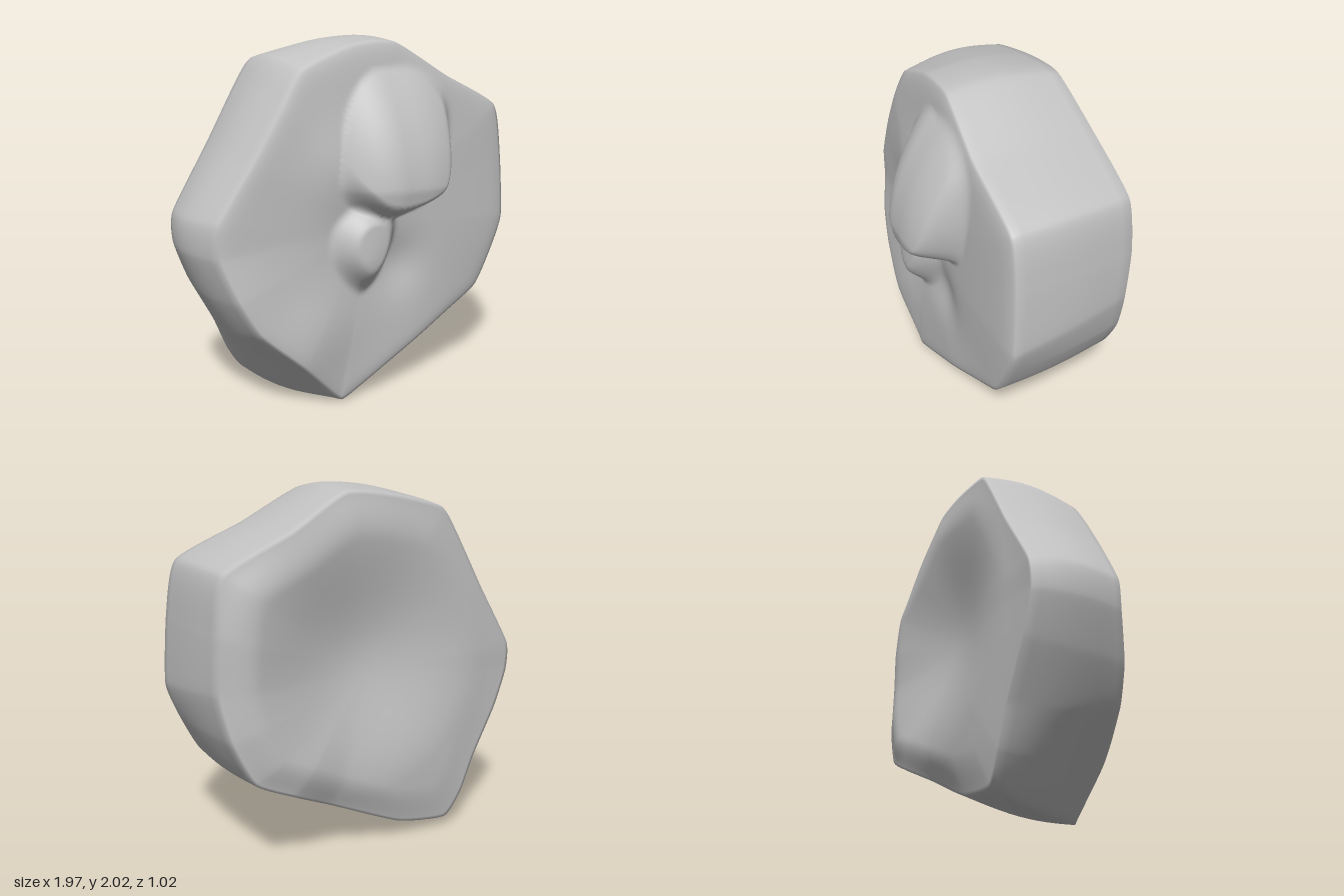
import * as THREE from 'three';
import { mergeVertices } from 'three/addons/utils/BufferGeometryUtils.js';

const V = (x, y, z) => new THREE.Vector3(x, y, z);
const { lerp, smoothstep } = THREE.MathUtils;

// Corners of the stone, counter-clockwise: front x, y, z then back x, y, z
const corners = [
  [0.985, 0.92, 0.22, 0.9, 1.0, -0.45], [0.965, 1.3, 0.21, 0.89, 1.3, -0.46],
  [0.9, 1.6, 0.21, 0.84, 1.59, -0.44], [0.52, 1.785, 0.23, 0.48, 1.78, -0.43],
  [0.17, 1.975, 0.22, 0.17, 1.965, -0.39], [-0.1, 1.96, 0.22, -0.1, 1.95, -0.37],
  [-0.4, 1.84, 0.23, -0.42, 1.88, -0.34], [-0.53, 1.65, 0.25, -0.53, 1.74, -0.33],
  [-0.7, 1.38, 0.25, -0.72, 1.42, -0.31], [-0.89, 1.08, 0.23, -0.94, 1.07, -0.28],
  [-0.9, 0.9, 0.23, -0.95, 0.9, -0.27], [-0.81, 0.66, 0.28, -0.87, 0.68, -0.28],
  [-0.7, 0.47, 0.3, -0.72, 0.4, -0.3], [-0.46, 0.25, 0.31, -0.63, 0.19, -0.31],
  [-0.23, 0.02, 0.28, -0.52, 0.05, -0.31], [-0.16, 0.01, 0.28, -0.2, 0.09, -0.33],
  [0.3, 0.245, 0.27, 0.24, 0.28, -0.36], [0.55, 0.37, 0.245, 0.5, 0.41, -0.45],
  [0.795, 0.5, 0.22, 0.72, 0.52, -0.47], [0.915, 0.72, 0.22, 0.84, 0.75, -0.47],
];
const loop = (pts) => new THREE.CatmullRomCurve3(pts, true, 'catmullrom', 0.28);
const frontEdge = loop(corners.map((c) => V(c[0], c[1], c[2])));
const backEdge = loop(corners.map((c) => V(c[3], c[4], c[5])));

// Outlines of the two lumps on the front, counter-clockwise and convex
const bigLump = [[-0.24, 1.21], [-0.02, 1.01], [0.12, 1.01], [0.42, 1.11], [0.5, 1.32],
  [0.52, 1.7], [0.36, 1.88], [0.06, 1.92], [-0.25, 1.75], [-0.33, 1.45]];
const smallLump = [[-0.27, 0.85], [-0.21, 0.72], [-0.08, 0.61], [0.04, 0.68], [0.15, 0.9],
  [0.14, 1.1], [-0.12, 1.12], [-0.25, 1.0]];

// Distance inside a convex outline, with softened corners
function inset(outline, x, y) {
  const soft = 0.025;
  let sum = 0;
  outline.forEach(([ax, ay], i) => {
    const [bx, by] = outline[(i + 1) % outline.length];
    const ex = bx - ax, ey = by - ay;
    sum += Math.exp(-(ex * (y - ay) - ey * (x - ax)) / Math.hypot(ex, ey) / soft);
  });
  return -soft * Math.log(sum);
}

// Height of the big lump: a long slope from its low brow up to its top and left
function browHeight(x, y) {
  const slope = 0.515 - 0.08 * (y - 1.2) - 0.52 * Math.max(0, y - 1.2) ** 2
    - 0.25 * Math.max(0, 1.2 - y);
  return slope - 0.9 * Math.max(0, x - 0.2) ** 2 - 2 * Math.max(0, 0.08 - x) ** 2;
}

const hill = (x, y, cx, cy, size) => Math.exp(-((x - cx) ** 2 + (y - cy) ** 2) / (size * size));

// Front face: almost flat, with two lumps and a shallow hollow
function frontPoint(edge, r) {
  const x = edge.x * r, y = lerp(1, edge.y, r);
  let z = lerp(0.28, edge.z + 0.015, r ** 3) - 0.015 * r ** 24;
  z += 0.03 * hill(x, y, -0.35, 0.42, 0.25) + 0.04 * hill(x, y, -0.18, 1.3, 0.25);
  z -= 0.04 * hill(x, y, 0.18, 0.74, 0.17);
  const big = smoothstep(inset(bigLump, x, y), -0.03, 0.09);
  z = lerp(z, Math.max(z, browHeight(x, y)), big);
  const small = smoothstep(inset(smallLump, x, y), -0.03, 0.1);
  const peak = 0.42 - 0.2 * Math.hypot(x + 0.07, Math.min(y - 0.83, 0.6 * (y - 0.83)), 0.05);
  return V(x, y, lerp(z, Math.max(z, peak), small));
}

// Back face: a tilted plane with a soft rim and a broad dish
function backPoint(edge, r) {
  const x = edge.x * r, y = lerp(1, edge.y, r);
  const tilt = (px) => -0.38 - 0.09 * px;
  const plane = tilt(x) + (edge.z - tilt(edge.x)) * r ** 3;
  const rim = (0.04 + 0.045 * x) * smoothstep(1 - r, -0.05, 0.25);
  const dish = 0.13 * (1 - smoothstep(Math.hypot(x - 0.08, y - 1.1), 0, 0.8));
  return V(x, y, plane - rim + dish);
}

// Side wall: a slight bulge from the front edge to the back edge
function sidePoint(front, back, t) {
  const p = front.clone().lerp(back, t);
  const swell = 1 + (0.033 - 0.02 * p.x) * Math.sin(Math.PI * t);
  return V(p.x * swell, 1 + (p.y - 1) * swell, p.z);
}

function stoneGeometry() {
  const around = 240, faceRings = 48, sideRings = 12;
  const rings = [];
  for (let j = 0; j <= faceRings; j++) rings.push((f) => frontPoint(f, j / faceRings));
  for (let j = 1; j < sideRings; j++) rings.push((f, b) => sidePoint(f, b, j / sideRings));
  for (let j = faceRings; j >= 0; j--) rings.push((f, b) => backPoint(b, j / faceRings));

  const position = [], index = [];
  const edges = Array.from({ length: around }, (_, i) =>
    [frontEdge.getPoint(i / around), backEdge.getPoint(i / around)]);
  rings.forEach((ring, j) => edges.forEach(([f, b], i) => {
    position.push(...ring(f, b).toArray());
    if (j === rings.length - 1) return;
    const n = (i + 1) % around, row = j * around, next = row + around;
    if (j > 0) index.push(row + i, next + n, row + n);
    if (j < rings.length - 2) index.push(row + i, next + i, next + n);
    else index.push(row + i, next + i, row + n);
  }));
  let geometry = new THREE.BufferGeometry();
  geometry.setAttribute('position', new THREE.Float32BufferAttribute(position, 3));
  geometry.setIndex(index);
  geometry = mergeVertices(geometry, 1e-5);
  geometry.computeVertexNormals();
  return geometry;
}

export function createModel() {
  const stoneGrey = new THREE.MeshStandardMaterial({ color: 0xc2c2c2 });
  stoneGrey.name = 'stone grey';
  const stone = new THREE.Mesh(stoneGeometry(), stoneGrey);
  stone.name = 'stone';
  const group = new THREE.Group();
  group.name = 'lumpyStone';
  group.add(stone);
  return group;
}
